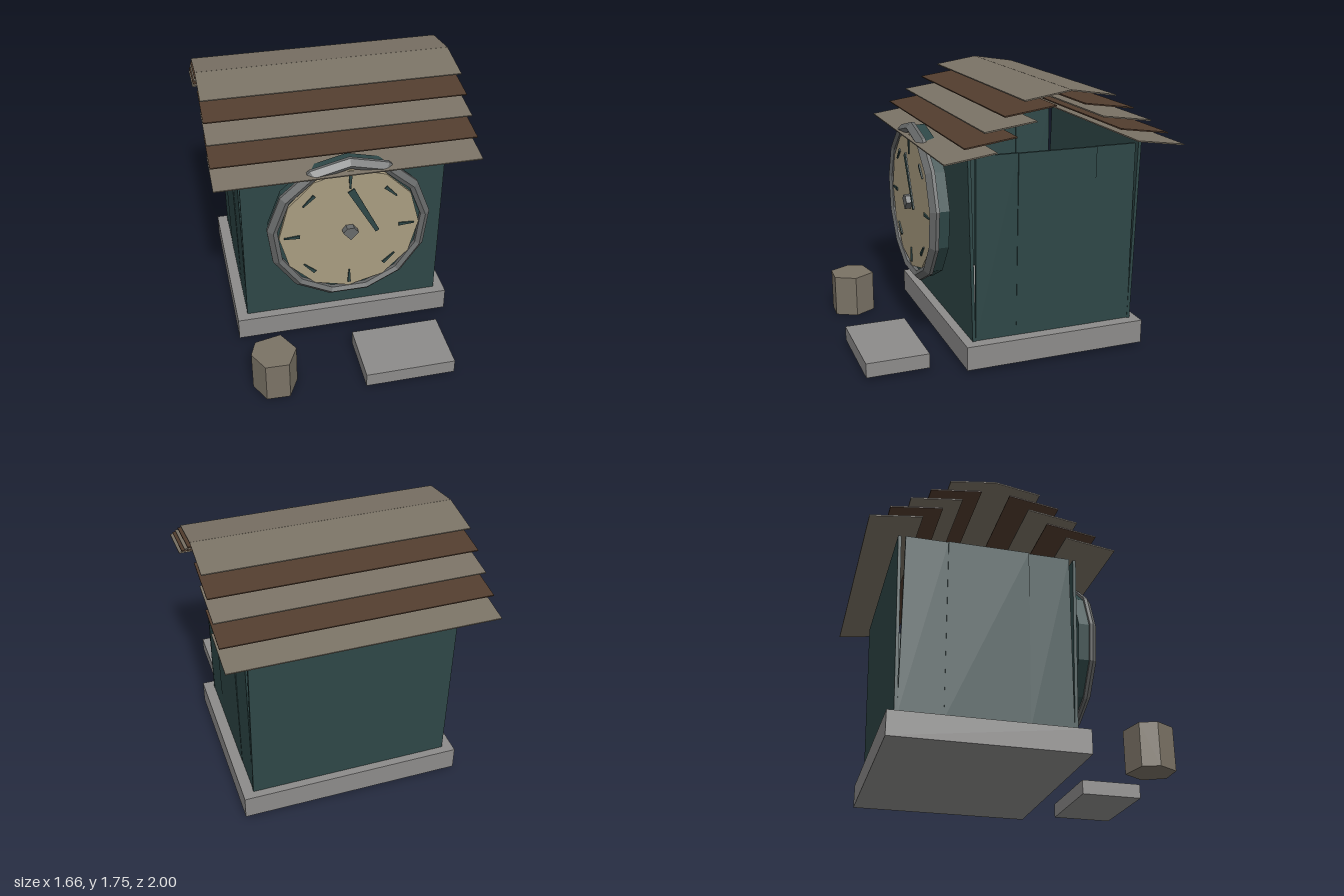
import * as THREE from 'three';

const mat = (name, color) => {
  const m = new THREE.MeshStandardMaterial({ color, flatShading: true });
  m.name = name;
  return m;
};

export function createModel() {
  const teal = mat('dark teal paint', 0x2e4747);
  const stone = mat('grey stone', 0x8c8b8a);
  const cream = mat('cream face', 0xa89c80);
  const wood = mat('weathered wood', 0x7a7265);
  const brown = mat('dark brown wood', 0x523d2e);
  const metal = mat('dark grey metal', 0x686a6a);

  const model = new THREE.Group();
  const add = (parent, name, geometry, material, x = 0, y = 0, z = 0) => {
    const mesh = new THREE.Mesh(geometry, material);
    mesh.name = name;
    mesh.position.set(x, y, z);
    parent.add(mesh);
    return mesh;
  };
  const box = (w, h, d) => new THREE.BoxGeometry(w, h, d);

  // Stone base and doorstep
  add(model, 'base', box(1.455, 0.155, 1.21), stone, 0, 0.1, -0.215);
  add(model, 'doorstep', box(0.59, 0.095, 0.405), stone, 0.305, 0.067, 0.795);

  // Thin walls leaning slightly outwards, open at the top
  add(model, 'frontWall', box(1.315, 1.185, 0.02), teal, 0, 0.77, 0.335).rotation.x = 0.024;
  add(model, 'backWall', box(1.315, 1.185, 0.02), teal, 0, 0.77, -0.772).rotation.x = -0.024;
  const planks = [[0.31, 0.04, 0.008], [0.04, -0.48, 0.016], [-0.48, -0.75, 0.01]];
  for (const side of [-1, 1]) {
    planks.forEach(([z0, z1, lean], i) => {
      const p = add(model, 'sidePlank', box(0.02, 1.18, z0 - z1), teal,
        side * (i === 1 ? 0.656 : 0.651), 0.77, (z0 + z1) / 2);
      p.rotation.z = -side * lean;
    });
  }

  // Overlapping roof boards: [z of upper edge, y, z of lower edge, y]
  const board = (z0, y0, z1, y1, material) => {
    const b = add(model, 'roofBoard', box(1.66, 0.008, Math.hypot(z1 - z0, y1 - y0)), material,
      0, (y0 + y1) / 2, (z0 + z1) / 2);
    b.rotation.x = Math.atan2(y0 - y1, z1 - z0);
    if (z1 < z0) b.rotation.x = -Math.atan2(y0 - y1, z0 - z1);
  };
  const ridge = -0.22;
  for (let i = 0; i < 5; i++) {
    const upper = i === 0 ? 0 : 0.09 + (i - 1) * 0.122;
    const lower = 0.29 + i * 0.122;
    const y0 = 1.745 - i * 0.084;
    for (const s of [-1, 1]) {
      board(ridge + s * upper, y0, ridge + s * lower, y0 - 0.045, i % 2 ? brown : wood);
    }
  }

  // Clock, built facing +z around its own centre
  const clock = new THREE.Group();
  clock.name = 'clock';
  clock.position.set(0, 0.93, 0);
  model.add(clock);
  const disc = (r, depth, sides) =>
    new THREE.CylinderGeometry(r, r, depth, sides, 1, false, Math.PI).rotateX(Math.PI / 2);
  add(clock, 'clockDrum', disc(0.507, 0.085, 13), teal, 0, 0, 0.4625);
  add(clock, 'clockFace', disc(0.45, 0.025, 12), cream, 0, 0, 0.513);
  const section = [[0.462, 0.49], [0.525, 0.49], [0.525, 0.512], [0.49, 0.545], [0.462, 0.53], [0.462, 0.49]]
    .map(([r, z]) => new THREE.Vector2(r, z));
  add(clock, 'clockRim', new THREE.LatheGeometry(section, 13, Math.PI).rotateX(Math.PI / 2), metal);

  // Flat plate cut from a short outline
  const plate = (points, depth) => new THREE.ExtrudeGeometry(
    new THREE.Shape(points.map(([x, y]) => new THREE.Vector2(x, y))), { depth, bevelEnabled: false });

  // Tapered hour marks, turned against the direction of the dial
  const mark = plate([[-0.004, -0.05], [0.004, -0.05], [0.011, 0.05], [-0.011, 0.05]], 0.009);
  for (let i = 0; i < 8; i++) {
    const a = i * Math.PI / 4;
    add(clock, 'hourMark', mark, teal, Math.sin(a) * 0.368, Math.cos(a) * 0.368, 0.526).rotation.z = a;
  }

  // Hand and hub
  add(clock, 'clockHand', plate([[-0.022, 0.31], [0.16, -0.012], [0.183, 0], [0.018, 0.335]], 0.009),
    teal, 0, 0, 0.552);
  add(clock, 'clockHub', plate([[0, -0.05], [0.05, 0.004], [0.02, 0.042], [-0.025, 0.042], [-0.05, 0.01]], 0.042),
    metal, 0, 0, 0.526);

  // Six-sided wooden stump
  const outline = [[-0.66, -0.72], [-0.70, -0.825], [-0.63, -0.955], [-0.48, -0.96], [-0.41, -0.825], [-0.49, -0.685]];
  add(model, 'stump', plate(outline, 0.28).rotateX(-Math.PI / 2), wood);

  return model;
}
